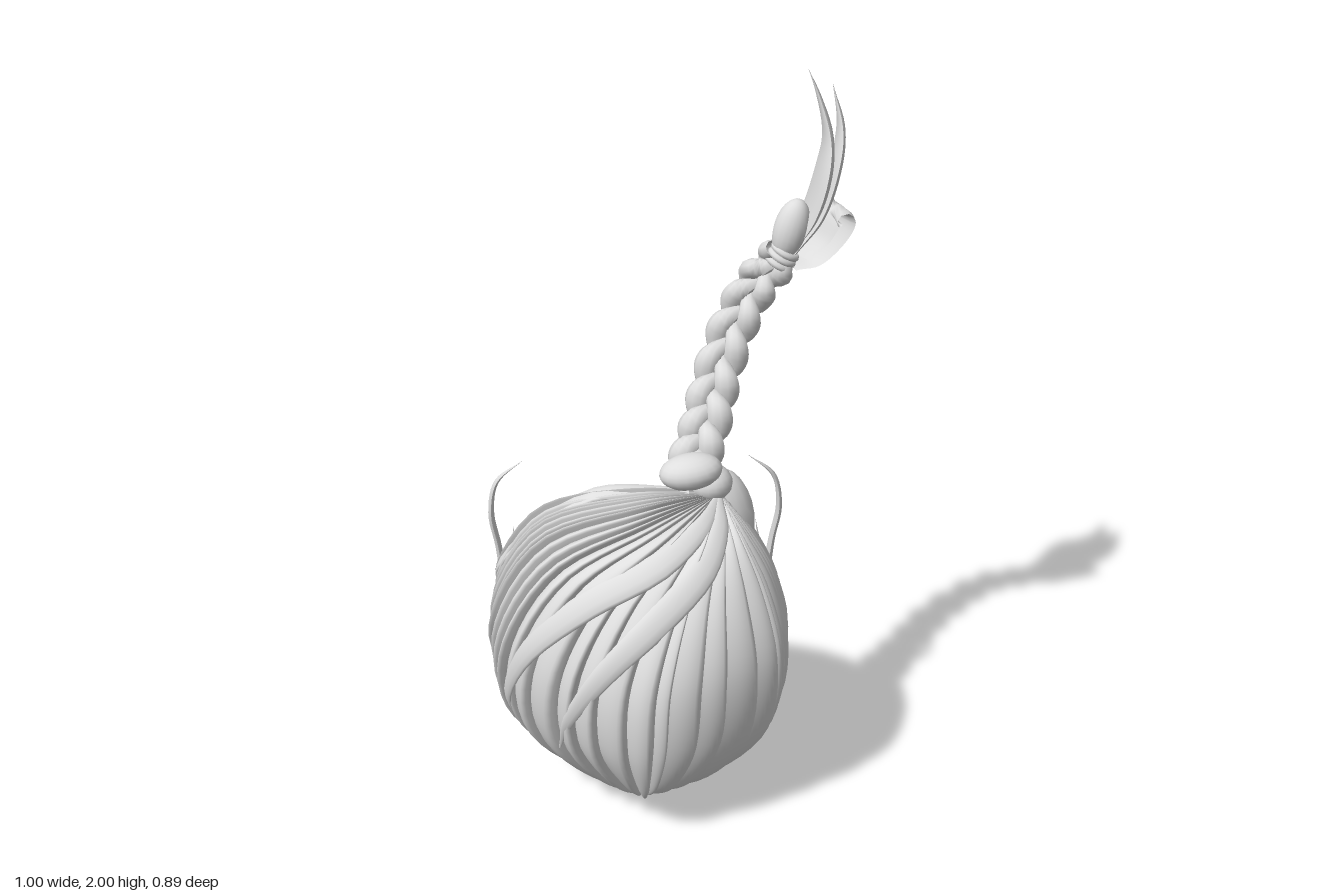
import * as THREE from 'three';

const hair = new THREE.MeshStandardMaterial({ color: 0xdedede, side: THREE.DoubleSide });
hair.name = 'hair light grey';
const V = (x, y, z) => new THREE.Vector3(x, y, z);

// Surface from a rule: rows run along the lock, columns run across it
function grid(rows, cols, fn) {
  const pos = [], idx = [];
  for (let i = 0; i <= rows; i++)
    for (let j = 0; j <= cols; j++) pos.push(...fn(i / rows, j / cols).toArray());
  for (let i = 0; i < rows; i++)
    for (let j = 0; j < cols; j++) {
      const a = i * (cols + 1) + j, b = a + 1, c = a + cols + 1, d = c + 1;
      idx.push(a, b, c, b, d, c);
    }
  const g = new THREE.BufferGeometry();
  g.setAttribute('position', new THREE.Float32BufferAttribute(pos, 3));
  g.setIndex(idx);
  g.computeVertexNormals();
  return g;
}

// Tapered lock with a lens section; points are [x, y, z, halfWidth]
function lock(points, sideDir, thin, rows = 24) {
  const curve = new THREE.CatmullRomCurve3(points.map(p => V(p[0], p[1], p[2])));
  const widths = new THREE.SplineCurve(points.map((p, i) => new THREE.Vector2(i, p[3])));
  return grid(rows, 10, (t, s) => {
    const tan = curve.getTangent(t);
    const dir = typeof sideDir === 'function' ? sideDir(curve.getPoint(t), tan) : sideDir.clone();
    const side = dir.addScaledVector(tan, -dir.dot(tan)).normalize();
    const n = tan.clone().cross(side);
    const w = Math.max(widths.getPoint(t).y, 0.001), a = s * Math.PI * 2;
    return curve.getPoint(t).addScaledVector(side, Math.cos(a) * w).addScaledVector(n, Math.sin(a) * w * thin);
  });
}

// Guide strands, from the knot to the tucked-in parting, ordered right rim - front - left rim
const KNOT = [0.13, 0.95, 0.09];
const GUIDES = [
  [KNOT, [-0.1, 0.985, 0.12], [-0.34, 0.88, 0.01], [-0.465, 0.64, -0.1], [-0.415, 0.5, -0.28], [-0.28, 0.41, -0.405], [-0.17, 0.29, -0.44], [-0.08, 0.22, -0.4]],
  [KNOT, [-0.08, 0.975, 0.2], [-0.34, 0.86, 0.14], [-0.485, 0.56, 0.03], [-0.45, 0.3, -0.12], [-0.29, 0.1, -0.2], [-0.16, 0.045, -0.21], [-0.08, 0.07, -0.2]],
  [KNOT, [-0.06, 0.94, 0.27], [-0.28, 0.81, 0.29], [-0.42, 0.54, 0.24], [-0.415, 0.26, 0.14], [-0.27, 0.07, 0.05], [-0.15, 0.015, 0.03], [-0.08, 0.03, 0.03]],
  [KNOT, [0.07, 0.9, 0.28], [-0.02, 0.76, 0.38], [-0.09, 0.55, 0.435], [-0.1, 0.34, 0.42], [-0.09, 0.18, 0.35], [-0.085, 0.1, 0.275], [-0.08, 0.05, 0.2]],
  [KNOT, [0.17, 0.88, 0.22], [0.22, 0.75, 0.27], [0.265, 0.53, 0.28], [0.245, 0.25, 0.2], [0.11, 0.07, 0.12], [-0.01, 0.015, 0.05], [-0.08, 0.03, 0.03]],
  [KNOT, [0.2, 0.86, 0.12], [0.275, 0.72, 0.12], [0.325, 0.5, 0.07], [0.29, 0.24, -0.06], [0.13, 0.085, -0.17], [0, 0.045, -0.21], [-0.08, 0.07, -0.2]],
  [KNOT, [0.2, 0.85, 0.04], [0.27, 0.7, 0], [0.305, 0.57, -0.12], [0.255, 0.5, -0.28], [0.12, 0.41, -0.405], [0.01, 0.29, -0.44], [-0.08, 0.22, -0.4]],
];
const across = GUIDES[0].map((_, j) => new THREE.CatmullRomCurve3(GUIDES.map(g => V(...g[j]))));
const CENTRE = V(-0.085, 0.5, 0);

const strandCache = new Map();
function capPoint(u, t) {
  u = THREE.MathUtils.clamp(u, 0, 1);
  if (!strandCache.has(u)) strandCache.set(u, new THREE.CatmullRomCurve3(across.map((c, j) => j ? c.getPoint(u) : V(...KNOT))));
  return strandCache.get(u).getPoint(THREE.MathUtils.clamp(t, 0, 1));
}
function capNormal(u, t) {
  const e = 0.01, tt = THREE.MathUtils.clamp(t, 0.03, 0.97);
  const du = capPoint(u + e, tt).sub(capPoint(u - e, tt));
  const dt = capPoint(u, tt + e).sub(capPoint(u, tt - e));
  const n = dt.cross(du).normalize();
  return n.dot(capPoint(u, tt).sub(CENTRE)) < 0 ? n.negate() : n;
}

export function createModel() {
  const model = new THREE.Group();
  const add = (name, geometry) => {
    const m = new THREE.Mesh(geometry, hair);
    m.name = name;
    model.add(m);
    return m;
  };
  const ball = (name, p, r, tilt = 0) => {
    const m = add(name, new THREE.SphereGeometry(1, 18, 12));
    m.position.set(...p);
    m.scale.set(...r);
    m.rotation.z = tilt;
  };

  // Cap of strands, each one rising to a crest and dropping steeply to the next
  let seed = 7;
  const rand = () => (seed = (seed * 16807) % 2147483647) / 2147483647;
  const widths = Array.from({ length: 32 }, () => 0.5 + rand());
  const total = widths.reduce((a, b) => a + b);
  let start = 0;
  widths.forEach((w) => {
    const u0 = start / total, du = w / total, lift = 0.016 + 0.012 * rand();
    start += w;
    add('capStrand', grid(36, 10, (t, s) => {
      const v = 1 - s, u = u0 + du * v;
      const crest = v < 0.8 ? Math.sin(v / 0.8 * Math.PI / 2) : Math.cos((v - 0.8) / 0.2 * Math.PI / 2);
      const fade = Math.sqrt(Math.sin(Math.PI * (0.01 + 0.98 * t)));
      return capPoint(u, t).addScaledVector(capNormal(u, t), (crest * lift - 0.012) * fade);
    }));
  });

  // Rolled locks along the rim of the opening
  const flat = (p, tan) => tan.clone().cross(p.clone().sub(CENTRE).normalize());
  for (const [name, u] of [['rightRim', 0.014], ['leftRim', 0.986]])
    add(name, lock([0.05, 0.2, 0.4, 0.55, 0.7, 0.85, 0.98].map((t, i) =>
      [...capPoint(u, t).toArray(), [0.02, 0.03, 0.03, 0.03, 0.03, 0.03, 0.01][i]]), flat, 0.35, 36));

  // Swept locks lying across the front strands
  for (const shift of [0, -0.1])
    add('sweptLock', lock([[0.6, 0.01, 0.008], [0.57, 0.1, 0.025], [0.535, 0.2, 0.037], [0.49, 0.3, 0.038],
      [0.45, 0.4, 0.03], [0.42, 0.5, 0.017], [0.4, 0.58, 0.003]].map(([u, t, w]) =>
      [...capPoint(u + shift, t).addScaledVector(capNormal(u + shift, t), 0.006).toArray(), w]), flat, 0.35));

  // Knot and the gathered bundle below it
  ball('knot', [0.055, 1.025, 0.1], [0.085, 0.048, 0.06], 0.15);
  ball('knot', [0.11, 0.975, 0.07], [0.06, 0.05, 0.06]);
  ball('gatheredBundle', [0.15, 0.845, 0.03], [0.085, 0.15, 0.06], 0.12);

  // Three-strand braid
  const path = new THREE.CatmullRomCurve3([[0.06, 1.02, 0.07], [0.1, 1.11, 0], [0.135, 1.21, -0.08],
    [0.185, 1.33, -0.15], [0.25, 1.44, -0.185], [0.32, 1.53, -0.165]].map(p => V(...p)));
  const braidSide = V(1, 0, 0.3);
  for (let k = 0; k < 3; k++) {
    const pts = [];
    for (let i = 0; i <= 50; i++) {
      const t = i / 50, a = t * Math.PI * 5 + k * Math.PI * 2 / 3;
      const tan = path.getTangent(t);
      const side = braidSide.clone().addScaledVector(tan, -braidSide.dot(tan)).normalize();
      const p = path.getPoint(t).addScaledVector(side, 0.034 * Math.sin(a))
        .addScaledVector(tan.cross(side), 0.022 * Math.sin(2 * a));
      pts.push([...p.toArray(), (0.03 - 0.007 * Math.cos(2 * a)) * (1.05 - 0.2 * t)]);
    }
    add('braidStrand', lock(pts, braidSide, 0.85, 90));
  }

  // Tie around the braid end
  for (let i = 0; i < 3; i++) {
    const ring = add('tie', new THREE.TorusGeometry(0.032, 0.01, 8, 20));
    ring.position.set(0.305 + 0.008 * i, 1.505 + 0.016 * i, -0.165);
    ring.quaternion.setFromUnitVectors(V(0, 0, 1), V(0.5, 0.86, 0).normalize());
  }
  ball('tailPuff', [0.335, 1.6, -0.165], [0.047, 0.085, 0.045], -0.25);

  // Folded loop turned slightly outward, and the loose tail
  const Z = V(0, 0, 1);
  add('foldedLoop', lock([[0.34, 1.495, -0.18, 0.045], [0.39, 1.51, -0.19, 0.065], [0.435, 1.56, -0.205, 0.088],
    [0.462, 1.625, -0.215, 0.11], [0.455, 1.645, -0.215, 0.112], [0.435, 1.635, -0.215, 0.108],
    [0.405, 1.57, -0.2, 0.08], [0.36, 1.52, -0.18, 0.05]], V(0.32, 0, 0.95), 0.1, 40));
  add('tailLock', lock([[0.33, 1.52, -0.18, 0.03], [0.385, 1.62, -0.2, 0.08], [0.42, 1.74, -0.2, 0.088],
    [0.43, 1.84, -0.22, 0.06], [0.405, 1.94, -0.25, 0.025], [0.38, 2, -0.26, 0.002]], Z, 0.22));
  add('tailLock', lock([[0.34, 1.53, -0.17, 0.03], [0.41, 1.64, -0.18, 0.06], [0.45, 1.78, -0.18, 0.06],
    [0.46, 1.87, -0.2, 0.04], [0.44, 1.97, -0.23, 0.002]], Z, 0.25));

  // Loose wisps and short spikes on both sides of the opening
  for (const s of [1, -1]) {
    const x = (d) => -0.085 + s * d;
    add('wisp', lock([[x(0.37), 0.55, -0.12, 0.02], [x(0.385), 0.7, -0.1, 0.015], [x(0.4), 0.82, -0.08, 0.014],
      [x(0.38), 0.92, -0.07, 0.01], [x(0.31), 0.985, -0.06, 0.001]], Z, 0.6));
    add('spike', lock([[x(0.36), 0.5, -0.16, 0.04], [x(0.36), 0.6, -0.135, 0.025], [x(0.34), 0.75, -0.12, 0.001]], Z, 0.4, 12));
  }
  return model;
}
